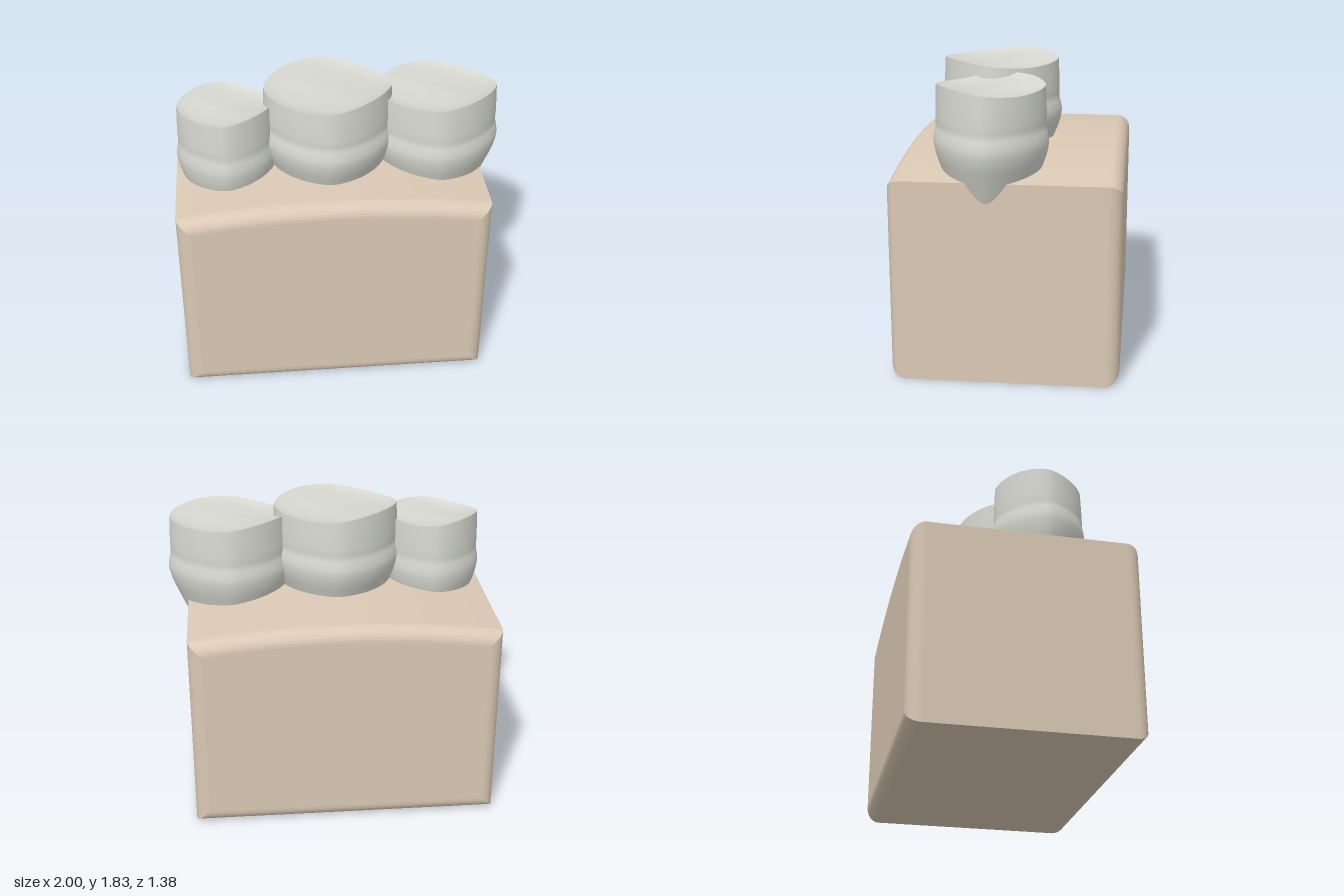
import * as THREE from 'three';
import { toCreasedNormals } from 'three/addons/utils/BufferGeometryUtils.js';

const sand = new THREE.MeshStandardMaterial({ color: 0xdac9b4 });
sand.name = 'sand';
const paleGrey = new THREE.MeshStandardMaterial({ color: 0xd6d8d0 });
paleGrey.name = 'paleGrey';

// Block with a gently arched top and rounded front and back edges
function makeBase() {
  const bevel = 0.085;
  const shape = new THREE.Shape();
  shape.moveTo(-1, 0);
  shape.lineTo(0.88, 0);
  shape.lineTo(0.88, 1.24);
  shape.quadraticCurveTo(-0.06, 1.38, -1, 1.24);
  shape.closePath();
  const depth = 1.38 - 2 * bevel;
  const geometry = new THREE.ExtrudeGeometry(shape, {
    depth, curveSegments: 24, bevelThickness: bevel, bevelSize: bevel,
    bevelOffset: -bevel, bevelSegments: 7,
  });
  geometry.translate(0, 0, -depth / 2);
  const mesh = new THREE.Mesh(geometry, sand);
  mesh.name = 'base';
  return mesh;
}

// Crown wall: radius fraction and height below the rim
const wall = new THREE.SplineCurve([
  [0.6, -0.75], [0.72, -0.65], [0.885, -0.5], [0.965, -0.42], [1, -0.35],
  [0.985, -0.3], [0.958, -0.255], [0.96, -0.2], [0.952, -0.1], [0.94, 0],
].map(([r, y]) => new THREE.Vector2(r, y))).getPoints(36);
// Shallow dish closing the top
const dish = [[0.85, -0.014], [0.7, -0.025], [0.45, -0.036], [0.2, -0.042], [0, -0.043]]
  .map(([r, y]) => new THREE.Vector2(r, y));

// Lathe reshaped to a rounded diamond, with a wavy rim
function makeCrown({ name, x, z, halfX, halfZ, top }) {
  const power = 1.62;
  const geometry = new THREE.LatheGeometry([...wall, ...dish], 72);
  const pos = geometry.attributes.position;
  for (let i = 0; i < pos.count; i++) {
    const px = pos.getX(i), py = pos.getY(i), pz = pos.getZ(i);
    const r = Math.hypot(px, pz);
    const c = r > 0 ? px / r : 1, s = r > 0 ? pz / r : 0;
    const f = Math.pow(Math.abs(c) ** power + Math.abs(s) ** power, -1 / power);
    const fade = THREE.MathUtils.smoothstep(py, -0.2, 0) * Math.min(1, r / 0.9);
    const wave = 0.016 * (1 - 2 * c * s) * fade;
    pos.setXYZ(i, x + px * f * halfX, top + py - wave, z + pz * f * halfZ);
  }
  const mesh = new THREE.Mesh(toCreasedNormals(geometry, 0.7), paleGrey);
  mesh.name = name;
  return mesh;
}

export function createModel() {
  const group = new THREE.Group();
  group.name = 'dentalModel';
  group.add(makeBase());
  [
    { name: 'rightCrown', x: -0.68, z: 0.14, halfX: 0.305, halfZ: 0.29, top: 1.74 },
    { name: 'middleCrown', x: -0.06, z: 0.115, halfX: 0.41, halfZ: 0.383, top: 1.825 },
    { name: 'leftCrown', x: 0.605, z: 0.1, halfX: 0.39, halfZ: 0.342, top: 1.78 },
  ].forEach((crown) => group.add(makeCrown(crown)));
  return group;
}
